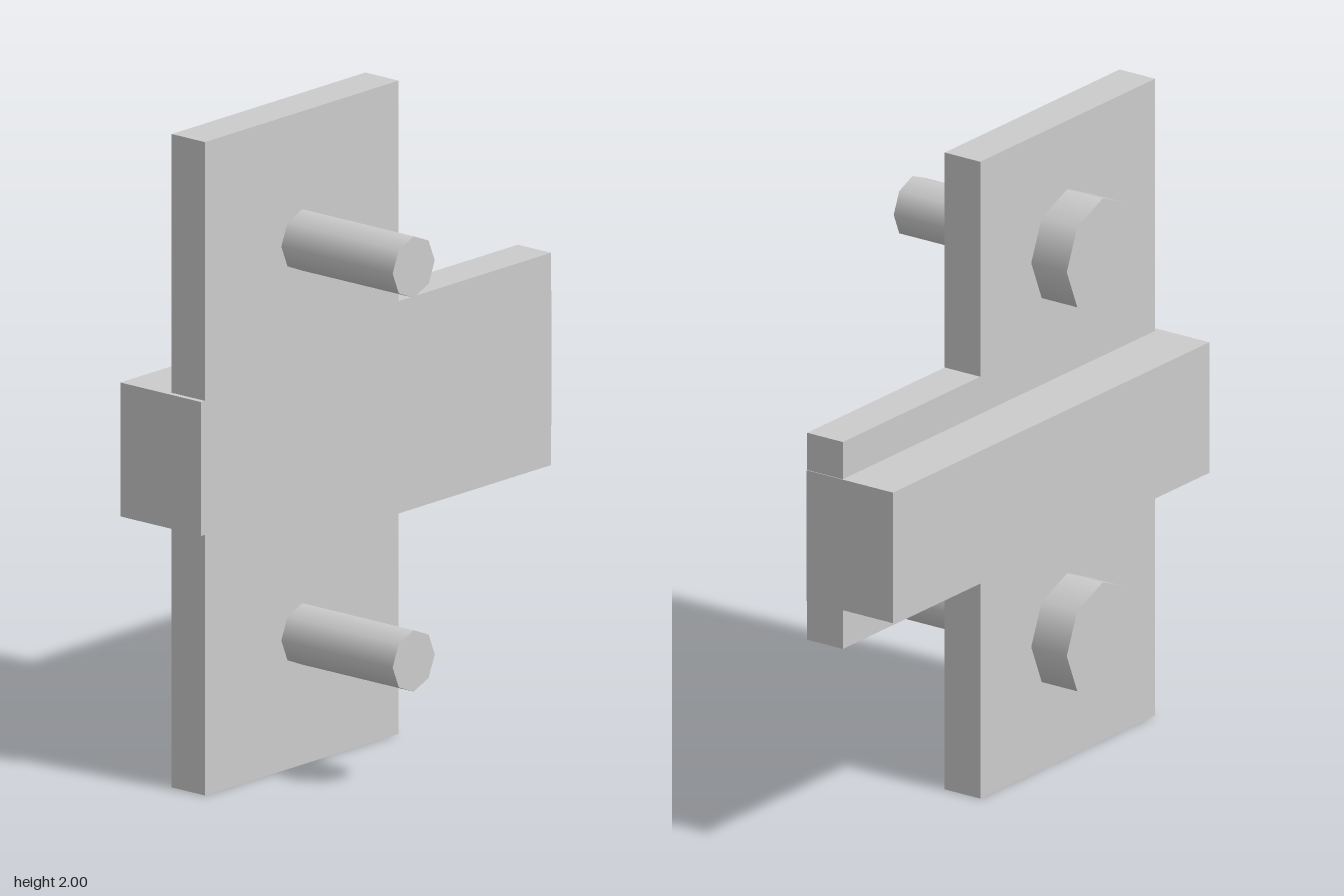
import * as THREE from 'three';

const material = new THREE.MeshStandardMaterial({ color: 0xcccccc });
const plateBack = -0.19, plateFace = -0.06;

function addPart(parent, name, geometry) {
  const mesh = new THREE.Mesh(geometry, material);
  mesh.name = name;
  parent.add(mesh);
}

// Eight-sided cylinder lying along x, from x0 to x1
function rod(radius, x0, x1) {
  return new THREE.CylinderGeometry(radius, radius, x1 - x0, 8)
    .rotateZ(-Math.PI / 2)
    .translate((x0 + x1) / 2, 0, 0);
}

export function createModel() {
  const model = new THREE.Group();
  model.name = 'mountingBracket';

  // T-shaped plate, outlined as (-z, y) and extruded along x
  const outline = new THREE.Shape([
    [-0.765, 0], [0.1, 0], [0.1, 0.675], [0.78, 0.675],
    [0.78, 1.325], [0.1, 1.325], [0.1, 2], [-0.765, 2],
  ].map(([u, v]) => new THREE.Vector2(u, v)));
  const plate = new THREE.ExtrudeGeometry(outline, {
    depth: plateFace - plateBack, bevelEnabled: false,
  });
  plate.rotateY(Math.PI / 2).translate(plateBack, 0, 0);
  addPart(model, 'plate', plate);

  // Rail across the plate, slightly longer than it at the front
  const rail = new THREE.BoxGeometry(0.315, 0.41, 1.565);
  rail.translate(-0.2175, 1.003, 0);
  addPart(model, 'rail', rail);

  // Bolts through the upper and lower halves of the plate
  for (const [name, y] of [['lowerBolt', 0.4], ['upperBolt', 1.606]]) {
    const bolt = new THREE.Group();
    bolt.name = name;
    bolt.position.set(0, y, 0.33);
    addPart(bolt, 'boltHead', rod(0.178, -0.32, plateBack));
    addPart(bolt, 'boltShaft', rod(0.094, plateBack, 0.375));
    model.add(bolt);
  }
  return model;
}
